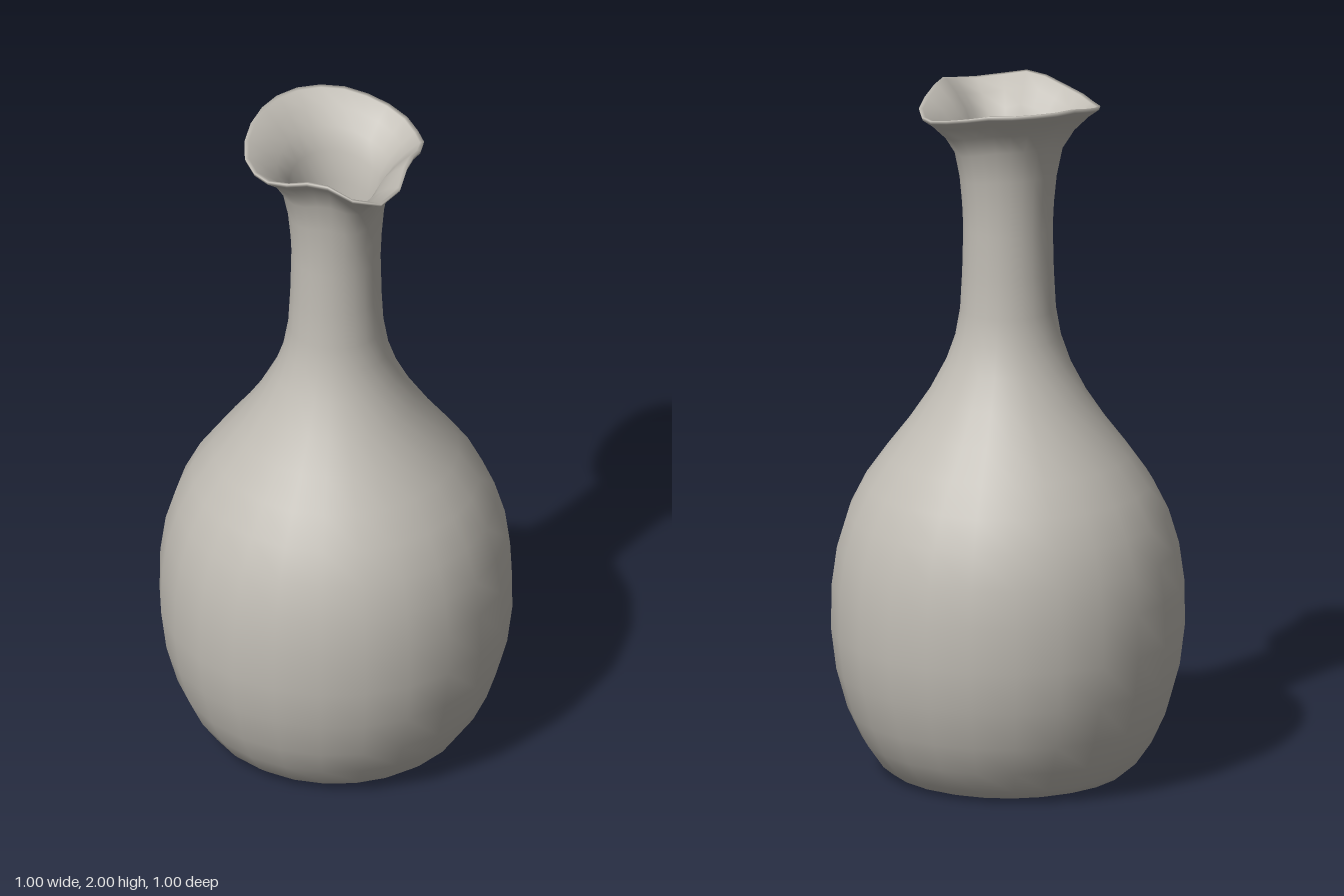
import * as THREE from 'three';
import { mergeVertices } from 'three/addons/utils/BufferGeometryUtils.js';

const SEGMENTS = 24;
const NECK_Y = 1.6;
const NECK_R = 0.127;
const WALL = 0.02;

// Rim radius and height every 15 degrees, from the spout (+z) round to the back
const RIM_R = [0.315, 0.292, 0.253, 0.24, 0.246, 0.257, 0.26, 0.266, 0.264, 0.262, 0.262, 0.268, 0.27];
const RIM_Y = [1.955, 1.968, 1.99, 1.985, 1.965, 1.95, 1.943, 1.95, 1.965, 1.98, 1.994, 1.998, 2.0];

// Body profile: radius, height
const BODY = [
  [0.31, 0], [0.34, 0.01], [0.37, 0.035], [0.415, 0.1], [0.455, 0.185], [0.487, 0.3], [0.502, 0.42],
  [0.5, 0.55], [0.485, 0.66], [0.455, 0.76], [0.41, 0.85], [0.35, 0.935], [0.285, 1.02],
  [0.225, 1.11], [0.178, 1.2], [0.15, 1.28], [0.136, 1.36], [0.13, 1.47], [NECK_R, NECK_Y],
];

// Flared mouth rows: share of the way up to the rim, share of the way out to it
const FLARE = [[0.2, 0.025], [0.42, 0.08], [0.65, 0.2], [0.8, 0.44], [0.91, 0.73], [0.97, 0.95]];

function vesselGeometry() {
  // Each row is either fixed (r, y) or a flare row (up, out), with an inward offset
  const rows = [
    { r: 0, y: 0 },
    ...BODY.map(([r, y]) => ({ r, y })),
    ...FLARE.map(([up, out]) => ({ up, out, inset: 0 })),
    { up: 1, out: 1, inset: 0.004 },
    { up: 0.995, out: 1, inset: 0.016 },
    ...FLARE.slice(0, -1).reverse().map(([up, out]) => ({ up, out, inset: WALL })),
    ...BODY.slice(3).reverse().map(([r, y]) => ({ r: r - WALL, y })),
    { r: 0.33, y: 0.04 },
    { r: 0, y: 0.035 },
  ];
  const profile = rows.map((row) => new THREE.Vector2(row.r ?? NECK_R, row.y ?? NECK_Y));
  const geometry = new THREE.LatheGeometry(profile, SEGMENTS);
  const position = geometry.attributes.position;

  // Pull the flare rows out to the pinched, wavy rim
  for (let i = 0; i <= SEGMENTS; i++) {
    const k = Math.min(i, SEGMENTS - i);
    const angle = ((i % SEGMENTS) / SEGMENTS) * Math.PI * 2;
    rows.forEach((row, j) => {
      const flared = row.up !== undefined;
      const r = flared ? THREE.MathUtils.lerp(NECK_R, RIM_R[k], row.out) - row.inset : row.r;
      const y = flared ? THREE.MathUtils.lerp(NECK_Y, RIM_Y[k], row.up) : row.y;
      position.setXYZ(i * rows.length + j, r * Math.sin(angle), y, r * Math.cos(angle));
    });
  }

  // Weld the seam so the surface shades smoothly all round
  geometry.deleteAttribute('uv');
  geometry.deleteAttribute('normal');
  const welded = mergeVertices(geometry, 1e-4);
  welded.computeVertexNormals();
  return welded;
}

export function createModel() {
  const clay = new THREE.MeshStandardMaterial({ color: 0xc0bcb4 });
  clay.name = 'pale clay';

  const model = new THREE.Group();
  model.name = 'carafe';
  const vessel = new THREE.Mesh(vesselGeometry(), clay);
  vessel.name = 'vessel';
  model.add(vessel);
  return model;
}
